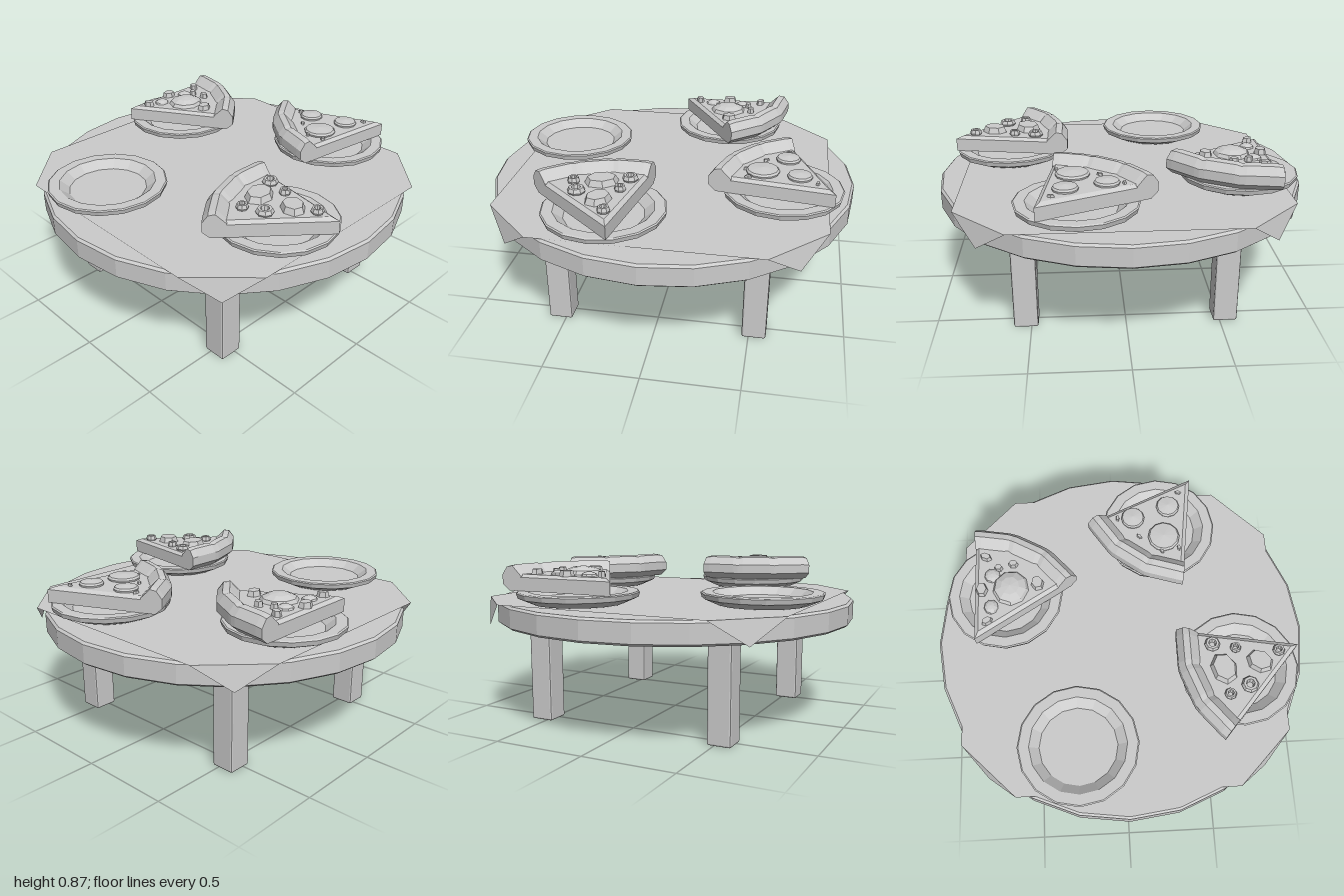
import * as THREE from 'three';
import { RoundedBoxGeometry } from 'three/addons/geometries/RoundedBoxGeometry.js';

const mat = new THREE.MeshStandardMaterial({ color: 0xcccccc, flatShading: true });
const thinMat = new THREE.MeshStandardMaterial({ color: 0xcccccc, flatShading: true, side: THREE.DoubleSide });

function add(parent, name, geometry, x = 0, y = 0, z = 0, material = mat) {
  const mesh = new THREE.Mesh(geometry, material);
  mesh.name = name;
  mesh.position.set(x, y, z);
  parent.add(mesh);
  return mesh;
}

function fromTriangles(tris) {
  const g = new THREE.BufferGeometry();
  g.setAttribute('position', new THREE.Float32BufferAttribute(tris.flat(2), 3));
  g.computeVertexNormals();
  return g;
}

// Joins equal-sized rings of points and caps both ends
function loft(rings) {
  const tris = [], n = rings[0].length, first = rings[0], last = rings[rings.length - 1];
  for (let i = 0; i < rings.length - 1; i++) {
    for (let j = 0; j < n; j++) {
      const k = (j + 1) % n, a = rings[i], b = rings[i + 1];
      tris.push([a[j], a[k], b[k]], [a[j], b[k], b[j]]);
    }
  }
  for (let j = 1; j < n - 1; j++) {
    tris.push([last[0], last[j], last[j + 1]], [first[0], first[j + 1], first[j]]);
  }
  return fromTriangles(tris);
}

const lathe = (pts, sides) => new THREE.LatheGeometry(pts.map(p => new THREE.Vector2(...p)), sides);

// Square cloth whose four corners fold down over the table edge
function clothGeometry() {
  const y = 0.667, tris = [], rim = [];
  for (let i = 0; i < 4; i++) {
    const c = Math.round(Math.cos(i * Math.PI / 2)), s = Math.round(Math.sin(i * Math.PI / 2));
    const turn = (x, h, z) => [x * c + z * s, h, z * c - x * s];
    const a = turn(0.58, y, 0.863), b = turn(0.863, y, 0.58);
    rim.push(a, b);
    tris.push([a, turn(0.737, 0.54, 0.737), b]);
  }
  rim.forEach((p, i) => tris.push([[0, y, 0], p, rim[(i + 1) % 8]]));
  return fromTriangles(tris);
}

// Wedge with its tip at the origin and its crust towards +x
const HALF = THREE.MathUtils.degToRad(29.3);
function addSlice(root, name, tipX, tipZ, degrees) {
  const slice = new THREE.Group();
  slice.name = name;
  slice.position.set(tipX, 0, tipZ);
  slice.rotation.y = -THREE.MathUtils.degToRad(degrees);
  root.add(slice);

  const wedge = (y, inset) => {
    const ring = [[inset * 2, y, 0]];
    for (const t of [1, 0.35, -0.35, -1]) {
      ring.push([0.56 * Math.cos(HALF * t), y, 0.56 * Math.sin(HALF * t) - inset * Math.sign(t)]);
    }
    return ring;
  };
  add(slice, 'sliceBase', loft([wedge(0.735, 0), wedge(0.805, 0), wedge(0.82, 0.022)]));

  // Faceted crust: one section swept around the arc, swelling slightly between its joints
  const section = [[0.53, 0.735], [0.605, 0.735], [0.646, 0.77], [0.646, 0.82],
    [0.615, 0.862], [0.58, 0.868], [0.525, 0.815]];
  const stations = [[-1, 0.96], [-0.88, 1], [-0.42, 1], [-0.33, 0.96], [-0.24, 1],
    [0.24, 1], [0.33, 0.96], [0.42, 1], [0.88, 1], [1, 0.96]];
  // Straight runs between the four joint angles
  const onChord = t => {
    const k = Math.min(2, Math.max(0, Math.floor((t + 1) * 1.5)));
    const mid = (-1 + (k + 0.5) * 2 / 3) * HALF;
    return Math.cos(HALF / 3) / Math.cos(t * HALF - mid);
  };
  add(slice, 'crust', loft(stations.map(([t, s]) => section.map(([r, y]) => {
    const rr = (0.58 + (r - 0.58) * s) * onChord(t) * 1.005;
    return [rr * Math.cos(t * HALF), 0.735 + (y - 0.735) * s, rr * Math.sin(t * HALF)];
  }))));
}

const TOP = 0.817;
function addDome(root, name, x, z, rx, rz, h, turn = 0) {
  const m = add(root, name, new THREE.SphereGeometry(1, 9, 3, 0, Math.PI * 2, 0, Math.PI / 2), x, TOP, z);
  m.scale.set(rx, h, rz);
  m.rotation.y = turn;
}
function addChunk(root, name, x, z, rx, rz, h, sides, turn = 0) {
  const m = add(root, name, new THREE.CylinderGeometry(0.8, 1, 1, sides), x, TOP + h / 2, z);
  m.scale.set(rx, h, rz);
  m.rotation.y = turn;
}

export function createModel() {
  const root = new THREE.Group();
  root.name = 'tableWithSlices';

  // Table
  add(root, 'tableTop', lathe([[0, 0.54], [0.985, 0.54], [1, 0.552], [1, 0.65], [0.988, 0.662], [0, 0.662]], 24));
  add(root, 'tablecloth', clothGeometry(), 0, 0, 0, thinMat);
  for (const x of [-0.528, 0.528]) {
    for (const z of [-0.528, 0.528]) {
      add(root, 'leg', new RoundedBoxGeometry(0.128, 0.56, 0.128, 1, 0.01), x, 0.28, z);
    }
  }

  // Plates
  const plate = lathe([[0, 0.672], [0.235, 0.672], [0.31, 0.705], [0.317, 0.73], [0.31, 0.735],
    [0.255, 0.735], [0.205, 0.695], [0, 0.695]], 16);
  for (const [x, z] of [[-0.62, -0.25], [0.245, -0.625], [0.62, 0.247], [-0.245, 0.62]]) {
    add(root, 'plate', plate, x, 0, z);
  }

  // Slices
  addSlice(root, 'backSlice', -0.04, -0.78, 29.3);
  addSlice(root, 'rightSlice', 0.88, 0.44, 217);
  addSlice(root, 'frontSlice', -0.155, 0.93, 250.5);

  // Back slice: domes and leaf-like bits
  addDome(root, 'largeDome', 0.24, -0.585, 0.105, 0.1, 0.043);
  addDome(root, 'smallDome', 0.135, -0.69, 0.045, 0.04, 0.025);
  addDome(root, 'smallDome', 0.32, -0.685, 0.045, 0.045, 0.025);
  for (const [x, z, rx, rz, turn] of [[0.05, -0.71, 0.022, 0.033, 0.5], [0.235, -0.74, 0.043, 0.033, 0],
    [0.43, -0.72, 0.022, 0.035, -0.4], [0.38, -0.57, 0.022, 0.028, 0],
    [0.36, -0.65, 0.02, 0.024, 0], [0.26, -0.44, 0.045, 0.037, 0.2]]) {
    addChunk(root, 'toppingBit', x, z, rx, rz, 0.03, 6, turn);
  }

  // Front slice: chunks and rings
  addChunk(root, 'chunk', -0.275, 0.525, 0.09, 0.07, 0.035, 7, 0.3);
  addChunk(root, 'chunk', -0.245, 0.715, 0.075, 0.062, 0.035, 7, 1);
  for (const [x, z, r] of [[-0.14, 0.475, 0.042], [-0.165, 0.595, 0.03], [-0.415, 0.545, 0.032],
    [-0.37, 0.65, 0.046], [-0.19, 0.82, 0.033]]) {
    const ring = lathe([[r * 0.85, 0], [r, 0.013], [r * 0.8, 0.032], [r * 0.5, 0.032], [r * 0.35, 0.003]], 8);
    add(root, 'toppingRing', ring, x, TOP, z);
  }

  // Right slice: round discs and crumbs
  for (const [x, z, r] of [[0.51, 0.265, 0.088], [0.635, 0.1, 0.065], [0.7, 0.3, 0.065]]) {
    add(root, 'toppingDisc', lathe([[r * 0.97, 0], [r, 0.012], [r * 0.9, 0.022], [0, 0.03]], 12), x, TOP, z);
  }
  for (const [x, z, turn] of [[0.64, 0.015, 0], [0.79, 0.365, 1.4], [0.52, 0.13, 0.8], [0.44, 0.345, 0], [0.425, 0.25, 0.5]]) {
    addChunk(root, 'crumb', x, z, 0.02, 0.011, 0.015, 5, turn);
  }
  return root;
}
